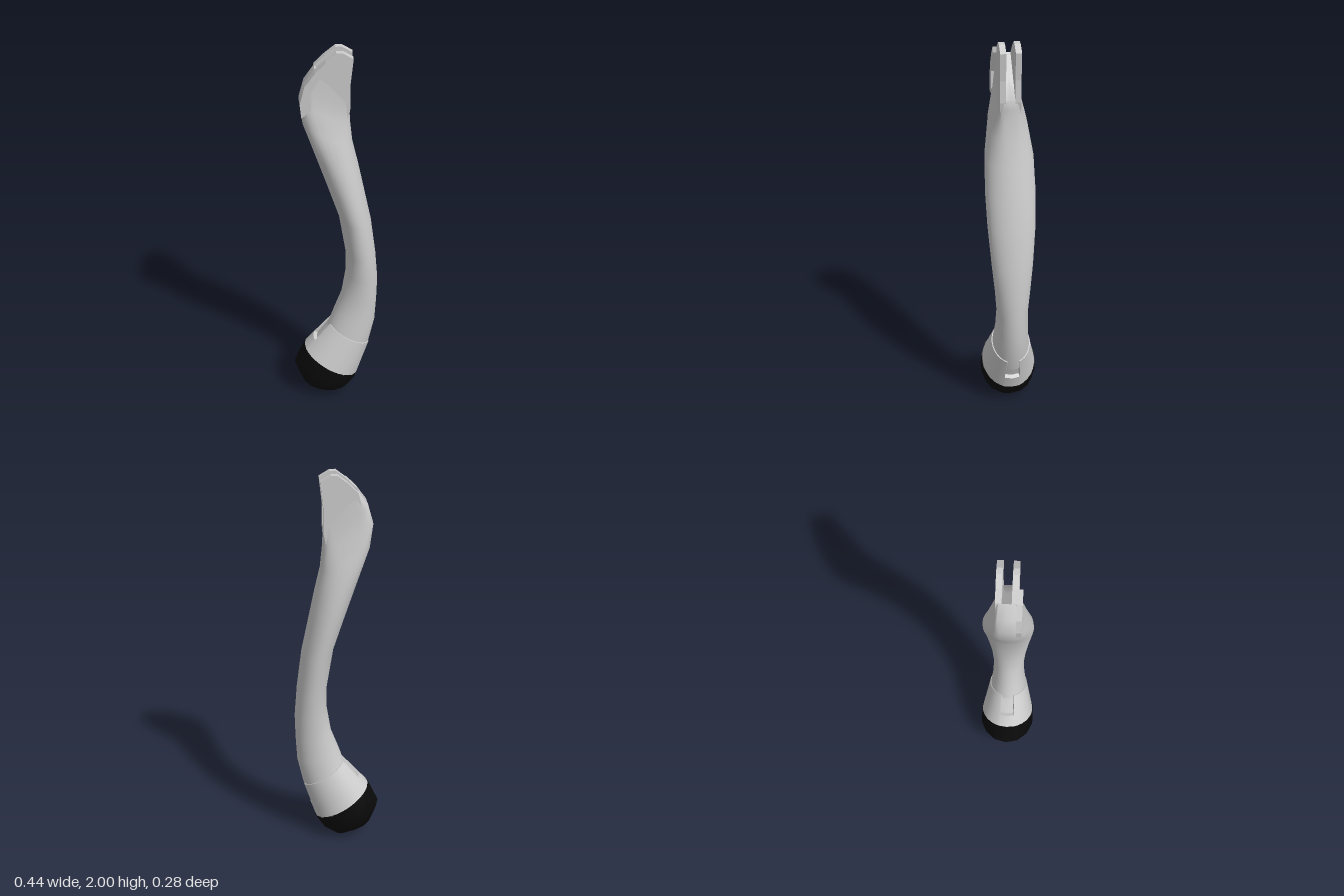
import * as THREE from 'three';
import { toCreasedNormals } from 'three/addons/utils/BufferGeometryUtils.js';

const grey = new THREE.MeshStandardMaterial({ color: 0xcccccc });
const black = new THREE.MeshStandardMaterial({ color: 0x0a0a0a });

const evenAngles = (n) => Array.from({ length: n }, (_, i) => (i / n) * Math.PI * 2);

// Loft through tilted sections, bottom to top.
// Section: [leftX, leftY, rightX, rightY, halfDepth, squareness, notchDepth]
function loft(sections, angles, crease) {
  const pos = [], index = [], n = angles.length;
  const power = (v, e) => Math.sign(v) * Math.pow(Math.abs(v), 2 / e);
  for (const [lx, ly, rx, ry, hw, sq = 2, notch = 0] of sections) {
    for (const a of angles) {
      const inNotch = Math.abs(Math.sin(a)) < 0.3;
      const c = power(Math.cos(a), sq) * (inNotch ? 1 - notch : 1);
      pos.push((lx + rx) / 2 + (c * (rx - lx)) / 2, (ly + ry) / 2 + (c * (ry - ly)) / 2, power(Math.sin(a), sq) * hw);
    }
  }
  for (let r = 0; r < sections.length - 1; r++) {
    for (let i = 0; i < n; i++) {
      const a = r * n + i, b = r * n + ((i + 1) % n);
      index.push(a, a + n, b, b, a + n, b + n);
    }
  }
  // end caps
  for (const top of [false, true]) {
    const s = sections[top ? sections.length - 1 : 0];
    const start = top ? (sections.length - 1) * n : 0;
    const centre = pos.length / 3;
    pos.push((s[0] + s[2]) / 2, (s[1] + s[3]) / 2, 0);
    for (let i = 0; i < n; i++) {
      const a = start + i, b = start + ((i + 1) % n);
      index.push(centre, top ? b : a, top ? a : b);
    }
  }
  const geo = new THREE.BufferGeometry();
  geo.setAttribute('position', new THREE.Float32BufferAttribute(pos, 3));
  geo.setIndex(index);
  return toCreasedNormals(geo, crease);
}

// Flat plate cut from a side outline, between two depths
function plate(points, z0, z1) {
  const shape = new THREE.Shape(points.map(([x, y]) => new THREE.Vector2(x, y)));
  return new THREE.ExtrudeGeometry(shape, { depth: z1 - z0, bevelEnabled: false }).translate(0, 0, z0);
}

export function createModel() {
  const group = new THREE.Group();
  const add = (name, geo, mat = grey) => {
    const mesh = new THREE.Mesh(geo, mat);
    mesh.name = name;
    group.add(mesh);
  };

  // Curved shank, turning flat-sided toward the head
  add('shank', loft([
    [-0.06, 0.38, 0.155, 0.25, 0.1],
    [-0.033, 0.44, 0.175, 0.31, 0.095],
    [-0.01, 0.51, 0.205, 0.45, 0.084],
    [0.03, 0.62, 0.212, 0.58, 0.08],
    [0.05, 0.75, 0.215, 0.71, 0.09],
    [0.05, 0.88, 0.202, 0.87, 0.104],
    [0.015, 1.1, 0.176, 1.07, 0.12],
    [-0.04, 1.27, 0.143, 1.23, 0.125],
    [-0.1, 1.45, 0.11, 1.39, 0.12, 2.1],
    [-0.16, 1.63, 0.08, 1.52, 0.095, 2.6],
    [-0.175, 1.75, 0.069, 1.62, 0.066, 4],
    [-0.15, 1.84, 0.065, 1.68, 0.055, 6],
    [-0.1, 1.91, 0.067, 1.73, 0.051, 8],
  ], evenAngles(32), 0.8));

  // Two fork plates with a slot between them
  const forkOutline = [
    [-0.1, 1.91], [-0.12, 1.83], [0.055, 1.66], [0.067, 1.72], [0.065, 1.83],
    [0.08, 1.97], [0.03, 2], [0, 2], [-0.05, 1.96],
  ];
  add('frontForkPlate', plate(forkOutline, 0.022, 0.051));
  add('backForkPlate', plate(forkOutline, -0.051, -0.022));

  // Raised rim on the front of the head
  add('headRim', plate([
    [-0.05, 1.93], [-0.05, 1.96], [-0.1, 1.91], [-0.15, 1.84],
    [-0.172, 1.75], [-0.165, 1.68], [-0.12, 1.72], [-0.12, 1.81],
  ], 0.045, 0.07));

  // Ankle cuff with a notch on each edge
  const notchAngles = [0, Math.PI].flatMap((c) => [-0.33, -0.29, 0, 0.29, 0.33].map((d) => c + d));
  const sides = evenAngles(28).filter((a) => Math.abs(Math.sin(a)) > 0.38);
  const cuffAngles = [...notchAngles, ...sides].map((a) => (a + Math.PI * 2) % (Math.PI * 2)).sort((a, b) => a - b);
  const cuffSection = (t, notch) => {
    const mix = (a, b) => a + (b - a) * t;
    return [mix(-0.165, -0.037), mix(0.285, 0.44), mix(0.115, 0.179), mix(0.11, 0.309), mix(0.139, 0.1), 2, notch];
  };
  add('ankleCuff', loft([
    cuffSection(0, 0), cuffSection(0.36, 0), cuffSection(0.38, 0.13), cuffSection(1, 0.06),
  ], cuffAngles, 0.6));

  // Rounded rubber foot
  add('footPad', loft([
    [-0.06, 0.005, 0.02, 0, 0.06],
    [-0.18, 0.07, 0.078, 0.045, 0.122],
    [-0.22, 0.17, 0.112, 0.095, 0.146],
    [-0.168, 0.287, 0.117, 0.112, 0.143],
  ], evenAngles(14), 0.75), black);

  return group;
}
